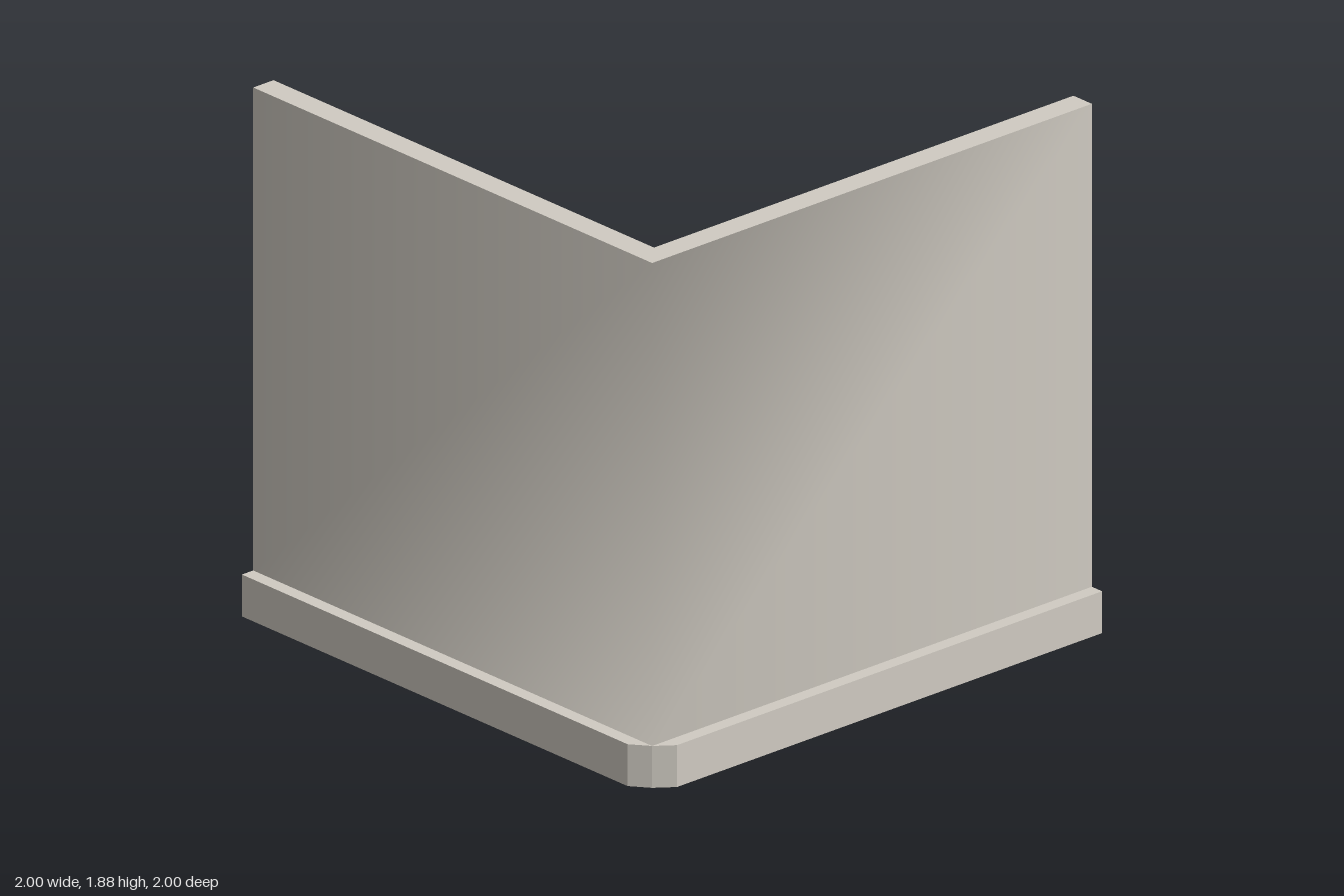
import * as THREE from 'three';
import { mergeGeometries } from 'three/addons/utils/BufferGeometryUtils.js';

// L-shaped plan paths [x, z], from the right-hand end round the corner to the back end
const lPath = (d) => [[1, d], [-d, d], [-d, -1]];
// same path with its corner points repeated, to pair with the chamfered path
const lPath5 = (d) => [[1, d], [-d, d], [-d, d], [-d, d], [-d, -1]];
const chamferedPath = (d, c) => [[1, d], [-d + c, d], [-0.95, 0.95], [-d, d - c], [-d, -1]];

// Strip of quads joining two rows of the swept section
function band(rowA, rowB, smooth) {
  const n = rowA.path.length;
  const pos = [];
  const index = [];
  for (const row of [rowA, rowB]) {
    for (const [x, z] of row.path) pos.push(x, row.y, z);
  }
  for (let i = 0; i < n - 1; i++) {
    index.push(i, i + 1, n + i + 1, i, n + i + 1, n + i);
  }
  const g = new THREE.BufferGeometry();
  g.setAttribute('position', new THREE.Float32BufferAttribute(pos, 3));
  g.setIndex(index);
  if (smooth) g.computeVertexNormals();
  const out = g.toNonIndexed();
  if (!smooth) out.computeVertexNormals();
  return out;
}

// Flat closing faces at both free ends
function endCaps(inner, outer, height0, height1) {
  const cap = (sign) => {
    const s = new THREE.Shape([
      new THREE.Vector2(sign * inner, height0), new THREE.Vector2(sign * outer, height0),
      new THREE.Vector2(sign * outer, height1), new THREE.Vector2(sign * inner, height1),
    ]);
    const g = new THREE.ShapeGeometry(s).toNonIndexed();
    g.deleteAttribute('uv');
    return g;
  };
  return [
    cap(-1).rotateY(Math.PI / 2).translate(1, 0, 0),
    cap(1).rotateY(Math.PI).translate(0, 0, -1),
  ];
}

// Sweep a rectangular section round the corner
function sweep(innerPath, outerPath, y0, y1, inner, outer, smooth) {
  const rows = [
    { path: innerPath, y: y0 }, { path: innerPath, y: y1 },
    { path: outerPath, y: y1 }, { path: outerPath, y: y0 },
  ];
  const bands = rows.map((row, i) => band(row, rows[(i + 1) % 4], smooth));
  return mergeGeometries([...bands, ...endCaps(inner, outer, y0, y1)]);
}

export function createModel() {
  const group = new THREE.Group();
  group.name = 'cornerWall';
  const plaster = new THREE.MeshStandardMaterial({ color: 0xd0cbc2 });
  plaster.name = 'warmGreyPlaster';

  // Tall wall panels, shading softened across the vertical corner
  const walls = new THREE.Mesh(
    sweep(lPath(0.86), lPath(0.95), 0.15, 1.88, 0.86, 0.95, true), plaster);
  walls.name = 'walls';

  // Wider plinth with a chamfered outer corner
  const plinth = new THREE.Mesh(
    sweep(lPath5(0.815), chamferedPath(1, 0.115), 0, 0.15, 0.815, 1, false), plaster);
  plinth.name = 'plinth';

  group.add(walls, plinth);
  return group;
}
